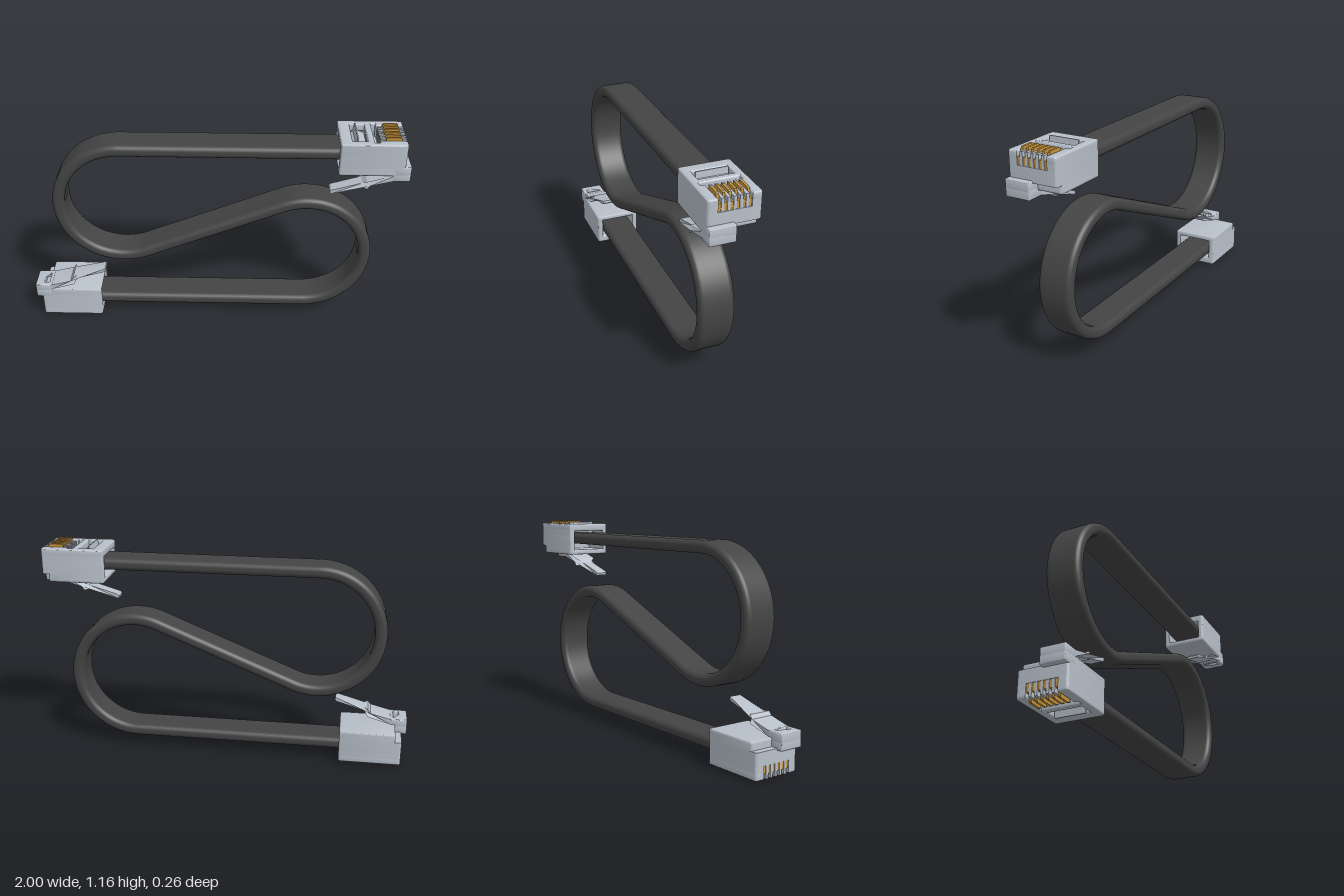
import * as THREE from 'three';
import { toCreasedNormals } from 'three/addons/utils/BufferGeometryUtils.js';

const paint = (color) => new THREE.MeshStandardMaterial({ color });
const plastic = paint(0xb8c0ca);
const rubber = paint(0x444444);
const gold = paint(0xc8963c);

const H = 1.16; // overall height; the lower plug is the upper one turned half a turn
const BACK = 0.635, FRONT = 0.97, HALF = 0.13, PITCH = 0.029;

function mesh(name, geometry, material = plastic) {
  const m = new THREE.Mesh(geometry, material);
  m.name = name;
  return m;
}

function box(name, x0, x1, y0, y1, z0, z1, material) {
  const g = new THREE.BoxGeometry(x1 - x0, y1 - y0, z1 - z0);
  g.translate((x0 + x1) / 2, (y0 + y1) / 2, (z0 + z1) / 2);
  return mesh(name, g, material);
}

// Polygon from [x, y, cornerRadius] entries
function polygon(corners, target = new THREE.Shape()) {
  const n = corners.length;
  corners.forEach(([x, y, r = 0], i) => {
    const p = new THREE.Vector2(x, y);
    const toward = (q) => new THREE.Vector2(q[0], q[1]).sub(p).setLength(r).add(p);
    const a = toward(corners[(i + n - 1) % n]);
    if (i === 0) target.moveTo(a.x, a.y);
    else target.lineTo(a.x, a.y);
    if (r) {
      const b = toward(corners[(i + 1) % n]);
      target.quadraticCurveTo(x, y, b.x, b.y);
    }
  });
  target.closePath();
  return target;
}

const rect = (x0, x1, h0, h1, r = 0) => [[x0, h0, r], [x1, h0, r], [x1, h1, r], [x0, h1, r]];

// Horizontal slab from a plan outline (plan y becomes -z)
function slab(name, shape, y0, y1, bevel = 0) {
  const g = new THREE.ExtrudeGeometry(shape, {
    depth: y1 - y0 - 2 * bevel, bevelEnabled: bevel > 0, bevelSize: bevel,
    bevelThickness: bevel, bevelOffset: -bevel, bevelSegments: 3, curveSegments: 4,
  });
  g.rotateX(-Math.PI / 2).translate(0, y0 + bevel, 0);
  return mesh(name, toCreasedNormals(g, 0.7));
}

// Side profile extruded across z
function profile(points, z0, z1) {
  const g = new THREE.ExtrudeGeometry(polygon(points), { depth: z1 - z0, bevelEnabled: false });
  return g.translate(0, 0, z0);
}

// Plan outline of one housing layer
function housingPlan(front, { cavity, opening, window }) {
  const r = 0.014;
  const c = [[BACK, -HALF, r], [front, -HALF, r]];
  if (opening) {
    c.push([front, -0.08], [0.83, -0.08], [0.83, -0.1], [0.805, -0.1],
      [0.805, 0.1], [0.83, 0.1], [0.83, 0.08], [front, 0.08]);
  }
  c.push([front, HALF, r], [BACK, HALF, r]);
  if (cavity) c.push([BACK, 0.1], [0.79, 0.1], [0.79, -0.1], [BACK, -0.1]);
  const shape = polygon(c);
  if (window) shape.holes.push(polygon(rect(0.695, 0.773, -0.088, 0.088), new THREE.Path()));
  return shape;
}

function housing() {
  const g = new THREE.Group();
  g.name = 'housing';
  const cavity = true, opening = true, window = true;
  g.add(
    slab('housingBase', housingPlan(0.935, {}), 0.966, 0.995, 0.008),
    slab('housingLowerWalls', housingPlan(0.935, { cavity }), 0.98, 1.01),
    slab('housingWalls', housingPlan(FRONT, { cavity }), 1.01, 1.08),
    slab('housingUpperWalls', housingPlan(FRONT, { cavity, opening }), 1.08, 1.135),
    slab('housingTop', housingPlan(FRONT, { opening, window }), 1.105, 1.147, 0.008),
  );
  // Ribs between the contact slots
  for (let i = -2; i <= 2; i++) {
    const z = i * PITCH;
    g.add(box('contactRib', 0.835, 0.968, 1.08, 1.145, z - 0.0075, z + 0.0075));
  }
  // Strain relief tab in the window
  const tab = [[0.7, 1.096], [0.773, 1.096], [0.773, 1.102], [0.728, 1.122],
    [0.725, 1.156], [0.719, 1.156], [0.715, 1.115], [0.7, 1.105]];
  g.add(mesh('strainRelief', profile(tab, -0.08, 0.08)));
  return g;
}

function contacts() {
  const g = new THREE.Group();
  g.name = 'contacts';
  const blade = [[0.838, 1.08], [0.966, 1.08], [0.966, 1.12], [0.945, 1.125], [0.94, 1.155],
    [0.934, 1.16], [0.87, 1.16], [0.863, 1.155], [0.858, 1.125], [0.838, 1.12]];
  for (let i = 0; i < 6; i++) {
    const z = (i - 2.5) * PITCH;
    g.add(mesh('contact', profile(blade, z - 0.006, z + 0.006), gold));
  }
  return g;
}

// Offset latch: nose block with a slot, and a springy arm that narrows to a tip
function latch() {
  const g = new THREE.Group();
  g.name = 'latch';
  const plan = polygon(rect(0.908, 1, -HALF, 0, 0.006));
  plan.holes.push(polygon(rect(0.927, 0.955, -0.105, -0.015), new THREE.Path()));
  g.add(slab('latchNose', plan, 0.935, 0.985, 0.005));
  g.add(slab('latchRoot', polygon(rect(0.908, 1, -HALF, 0, 0.006)), 0.97, 1.02, 0.005));

  const arm = profile([
    [0.605, 0.838], [0.765, 0.885], [0.785, 0.888], [0.8, 0.908], [0.915, 0.938],
    [0.915, 0.968], [0.785, 0.93], [0.765, 0.908], [0.61, 0.861], [0.602, 0.852],
  ], 0, HALF);
  const p = arm.attributes.position;
  for (let i = 0; i < p.count; i++) {
    if (p.getX(i) < 0.78) p.setZ(i, 0.067 + (p.getZ(i) - 0.065) * 0.52);
  }
  g.add(mesh('latchArm', toCreasedNormals(arm, 0.4)));
  return g;
}

function plug(name) {
  const g = new THREE.Group();
  g.name = name;
  g.add(housing(), contacts(), latch());
  return g;
}

// Flat cable: rounded-rectangle section swept along two straights, two arcs and a diagonal
function cable() {
  const R = 0.33, cx = 0.495, yTop = 1.0625, cy = yTop - R, end = 0.785;
  const dx = 2 * cx, dy = 2 * cy - H;
  const slope = Math.asin(2 * R / Math.hypot(dx, dy)) - Math.atan2(dy, dx);
  const stations = [{ x: end, y: yTop, nx: 0, ny: 1 }];
  const N = 48;
  for (let i = 0; i <= N; i++) {
    const a = Math.PI / 2 + (Math.PI + slope) * i / N;
    const nx = Math.cos(a), ny = Math.sin(a);
    stations.push({ x: -cx + R * nx, y: cy + R * ny, nx, ny });
  }
  // The second half mirrors the first through the model's centre
  for (let i = N + 1; i >= 0; i--) {
    const s = stations[i];
    stations.push({ x: -s.x, y: H - s.y, nx: s.nx, ny: s.ny });
  }

  const hu = 0.0325, hv = 0.0925, r = 0.028, section = [];
  for (let k = 0; k < 4; k++) {
    const su = k === 0 || k === 3 ? 1 : -1, sv = k < 2 ? 1 : -1;
    for (let j = 0; j <= 6; j++) {
      const a = (k + j / 6) * Math.PI / 2;
      const c = Math.cos(a), s = Math.sin(a);
      section.push({ u: su * (hu - r) + r * c, v: sv * (hv - r) + r * s, c, s });
    }
  }
  const m = section.length, pos = [], nor = [], idx = [];
  stations.forEach((st, i) => section.forEach((q, j) => {
    pos.push(st.x + st.nx * q.u, st.y + st.ny * q.u, q.v);
    nor.push(st.nx * q.c, st.ny * q.c, q.s);
    if (i < stations.length - 1) {
      const a = i * m + j, b = i * m + (j + 1) % m;
      idx.push(a, a + m, b, b, a + m, b + m);
    }
  }));
  const g = new THREE.BufferGeometry();
  g.setAttribute('position', new THREE.Float32BufferAttribute(pos, 3));
  g.setAttribute('normal', new THREE.Float32BufferAttribute(nor, 3));
  g.setIndex(idx);
  return mesh('cable', g, rubber);
}

export function createModel() {
  const model = new THREE.Group();
  model.name = 'flatCableWithPlugs';
  const lower = plug('lowerPlug');
  lower.rotation.z = Math.PI;
  lower.position.y = H;
  model.add(cable(), plug('upperPlug'), lower);
  return model;
}
